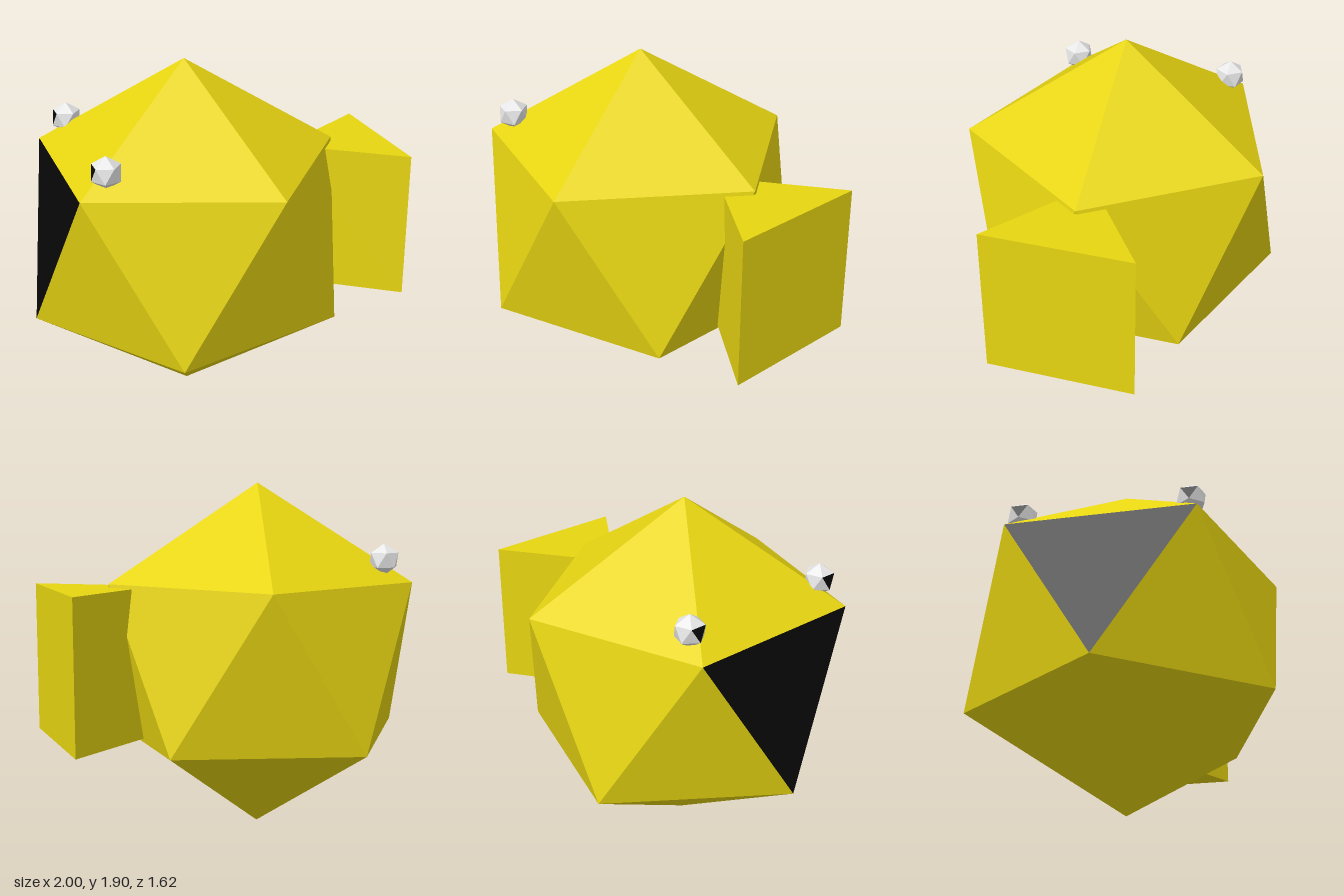
import * as THREE from 'three';

const mat = (name, color) => Object.assign(new THREE.MeshStandardMaterial({ color, flatShading: true }), { name });

// Upright icosahedron standing on a vertex; group 1 is the single face towards -x
function icosahedron(r) {
  const ring = (y, start) => Array.from({ length: 5 }, (_, k) => {
    const a = (start + 72 * k) * Math.PI / 180;
    return new THREE.Vector3(Math.cos(a) * r * 0.8944, y, Math.sin(a) * r * 0.8944);
  });
  const top = new THREE.Vector3(0, r, 0), bottom = new THREE.Vector3(0, -r, 0);
  const u = ring(r * 0.4472, 0), l = ring(-r * 0.4472, 36);
  const points = [];
  for (let k = 0; k < 5; k++) {
    const n = (k + 1) % 5;
    points.push(top, u[n], u[k], l[k], u[n], l[n], bottom, l[k], l[n]);
    if (k !== 2) points.push(u[k], u[n], l[k]);
  }
  points.push(u[2], u[3], l[2]);
  const g = new THREE.BufferGeometry().setFromPoints(points);
  g.computeVertexNormals();
  g.addGroup(0, 57, 0);
  g.addGroup(57, 3, 1);
  return g;
}

export function createModel() {
  const yellow = mat('yellow', 0xffeb14);
  const black = mat('black', 0x080808);
  const white = mat('white', 0xf8f8f8);
  const model = new THREE.Group();
  const add = (name, geometry, material, x, y, z) => {
    const m = new THREE.Mesh(geometry, material);
    m.name = name;
    m.position.set(x, y, z);
    model.add(m);
  };

  // Faceted body with one dark face as the mouth
  add('body', icosahedron(0.952), [yellow, black], -0.149, 0.953, 0);

  // Eyes with a dark pupil facet
  const eye = icosahedron(0.086);
  for (const s of [1, -1]) add(s > 0 ? 'frontEye' : 'backEye', eye, [white, black], -0.69, 1.5, s * 0.45);

  // Wedge tail: triangle in plan, extruded upwards
  const plan = new THREE.Shape([[0.43, 0], [1, -0.395], [1, 0.395]].map(p => new THREE.Vector2(...p)));
  const tail = new THREE.ExtrudeGeometry(plan, { depth: 0.81, bevelEnabled: false });
  tail.rotateX(-Math.PI / 2);
  add('tail', tail, yellow, 0, 0.55, 0);

  return model;
}
